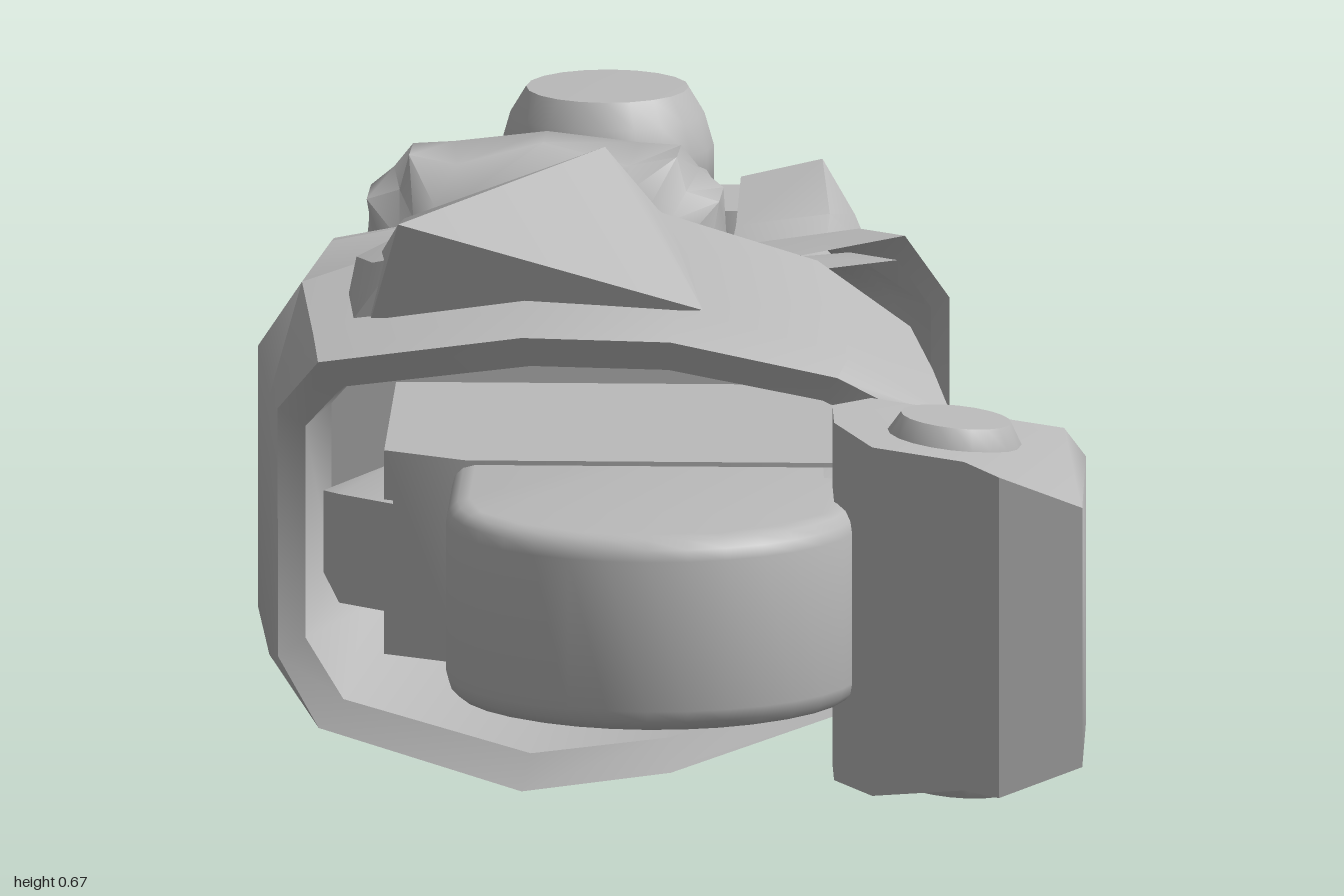
import * as THREE from 'three';
import { toCreasedNormals } from 'three/addons/utils/BufferGeometryUtils.js';
import { ConvexGeometry } from 'three/addons/geometries/ConvexGeometry.js';

const metal = new THREE.MeshStandardMaterial({ color: 0xbababa, side: THREE.DoubleSide });
metal.name = 'light grey metal';

// Mesh with smooth faces and sharp edges
function part(parent, name, geo, crease = 0.8) {
  const mesh = new THREE.Mesh(toCreasedNormals(geo, crease), metal);
  mesh.name = name;
  parent.add(mesh);
  return mesh;
}

// Skin over closed rings of [x, y, z], ordered counter-clockwise from +z, with optional end caps
function loft(rings, capped = true) {
  const n = rings[0].length, pos = rings.flat(2), idx = [];
  for (let r = 0; r < rings.length - 1; r++) {
    for (let i = 0; i < n; i++) {
      const a = r * n + i, b = r * n + (i + 1) % n;
      idx.push(a, b, b + n, a, b + n, a + n);
    }
  }
  if (capped) [rings[0], rings[rings.length - 1]].forEach((ring, end) => {
    const c = pos.length / 3, o = end ? (rings.length - 1) * n : 0;
    for (let k = 0; k < 3; k++) pos.push(ring.reduce((s, p) => s + p[k], 0) / n);
    for (let i = 0; i < n; i++) {
      const a = o + i, b = o + (i + 1) % n;
      idx.push(c, end ? a : b, end ? b : a);
    }
  });
  const g = new THREE.BufferGeometry();
  g.setAttribute('position', new THREE.Float32BufferAttribute(pos, 3));
  g.setIndex(idx);
  return g;
}

// Scale a unit outline into a box at depth z; bow pushes its top and bottom forward
function ring(outline, x0, x1, y0, y1, z, bow = 0) {
  return outline.map(([u, v]) => [
    (x0 + x1) / 2 + u * (x1 - x0) / 2,
    (y0 + y1) / 2 + v * (y1 - y0) / 2,
    z + bow * Math.max(0, (Math.abs(v) - 0.55) / 0.45),
  ]);
}

// Cut a ring off flat at a greatest x
const cut = (points, xMax) => points.map(([x, y, z]) => [Math.min(x, xMax), y, z]);

// Top outline of [x, z] raised from y0 to y1, with bevelled rims
function prism(outline, y0, y1, bevel = 0) {
  const shape = new THREE.Shape(outline.map(([x, z]) => new THREE.Vector2(x, -z)));
  const g = new THREE.ExtrudeGeometry(shape, {
    depth: y1 - y0 - 2 * bevel, bevelEnabled: bevel > 0, bevelSize: bevel,
    bevelThickness: bevel, bevelOffset: -bevel, bevelSegments: 3,
  });
  return g.rotateX(-Math.PI / 2).translate(0, y0 + bevel, 0);
}

const hull = (pts) => new ConvexGeometry(pts.map((p) => new THREE.Vector3(...p)));
const lathe = (pts) => new THREE.LatheGeometry(pts.map((p) => new THREE.Vector2(...p)), 20);

const SHELL = [[1, -0.5], [1, 0.5], [0.7, 0.78], [0.2, 0.98], [-0.25, 1], [-0.87, 0.85],
  [-1, 0.58], [-1, -0.52], [-0.87, -0.78], [-0.25, -1], [0.2, -0.93], [0.7, -0.72]];
const CHAMFER = [[1, -0.7], [1, 0.7], [0.6, 1], [-0.6, 1], [-1, 0.75], [-1, -0.75], [-0.6, -1], [0.6, -1]];
const CHANNEL = [[1, -0.7], [1, 0.7], [0.4, 1], [-1, 0.9], [-1, 0.82], [0.3, 0.88], [0.75, 0.65],
  [0.75, -0.65], [0.3, -0.88], [-1, -0.82], [-1, -0.9], [0.4, -1]];

export function createModel() {
  const model = new THREE.Group();
  model.name = 'mechanicalArm';

  // Tapered sleeve, stepped on its left and hollow at the front
  part(model, 'sleeve', loft([
    ring(SHELL, -0.31, -0.01, 0.14, 0.45, -0.46),
    cut(ring(SHELL, -0.375, 0.09, 0.1, 0.52, -0.2), 0.015),
    cut(ring(SHELL, -0.427, 0.23, 0.055, 0.57, 0), 0.03),
    ring(SHELL, -0.43, 0.24, 0.055, 0.57, 0.015),
    ring(SHELL, -0.46, 0.27, 0.035, 0.56, 0.18),
    ring(SHELL, -0.44, 0.3, 0.03, 0.55, 0.4, 0.02),
    ring(SHELL, -0.43, 0.285, 0.037, 0.538, 0.42, 0.13),
    ring(SHELL, -0.4, 0.26, 0.075, 0.503, 0.42, 0.11),
    ring(SHELL, -0.38, 0.22, 0.13, 0.46, 0.2),
  ]), 0.8);
  part(model, 'sleeveRearLug', hull([0.14, 0.46].flatMap((y) => [
    [0.02, y, -0.1], [0.17, y, -0.08], [0.195, y, -0.01], [0.19, y, 0.04], [0.03, y, 0.04],
  ])));

  // Raised housing above the sleeve and its side nub
  part(model, 'topHousing', hull([
    [-0.345, 0.525, 0.2], [-0.02, 0.572, 0.09], [0.03, 0.545, 0.43], [-0.33, 0.525, 0.39],
    [-0.3, 0.635, 0.42], [-0.3, 0.6, 0.22], [-0.085, 0.67, 0.17], [-0.05, 0.635, 0.2],
  ]), 0.7);
  part(model, 'housingNub', hull([
    [-0.36, 0.52, 0.26], [-0.35, 0.57, 0.28], [-0.3, 0.59, 0.25], [-0.3, 0.52, 0.24],
    [-0.35, 0.52, 0.37], [-0.33, 0.58, 0.36], [-0.3, 0.59, 0.38], [-0.3, 0.52, 0.38],
  ]));

  // Keel plate below the sleeve
  part(model, 'keelPlate', hull([
    [-0.29, 0.06, 0.2], [-0.28, 0.035, 0.22], [-0.17, 0.005, 0.23], [0.03, 0.03, 0.22], [0.12, 0.055, 0.18],
    [0.14, 0.08, 0.1], [-0.17, 0.05, 0.27], [-0.27, 0.08, -0.02], [-0.2, 0.09, -0.22],
    [-0.04, 0.1, -0.24], [0.04, 0.1, -0.1], [-0.12, 0.045, 0],
  ]), 0.5);

  // Round-ended tongue coming out of the sleeve
  const tongue = [[0.215, 0.2], [-0.235, 0.2]];
  for (let i = 0; i <= 16; i++) {
    const a = Math.PI * (1 - i / 16);
    tongue.push([-0.01 + 0.225 * Math.cos(a), 0.785 + 0.213 * Math.sin(a)]);
  }
  part(model, 'tongue', prism(tongue.reverse(), 0.195, 0.41, 0.025), 1);
  part(model, 'tongueBase', prism([[-0.31, 0.2], [-0.31, 0.56], [-0.22, 0.61], [0.18, 0.61], [0.18, 0.2]], 0.19, 0.415));
  part(model, 'tongueSideLug', hull([-1, 1].flatMap((s) => [
    [-0.3, 0.3 + s * 0.07, 0.4], [-0.3, 0.3 + s * 0.06, 0.58],
    [-0.36, 0.3 + s * 0.06, 0.53], [-0.38, 0.3 + s * 0.045, 0.44],
  ])));

  // Link and notched side block, lower towards its outer side
  part(model, 'blockLink', prism([[0.14, 0.38], [0.25, 0.42], [0.25, 0.55], [0.22, 0.7], [0.15, 0.68]], 0.2, 0.41, 0.02));
  const block = prism([[0.22, 0.64], [0.43, 0.68], [0.455, 0.72], [0.46, 0.97], [0.37, 0.975],
    [0.33, 0.915], [0.23, 0.895], [0.185, 0.79], [0.18, 0.7]], -1, 1);
  const bp = block.attributes.position;
  for (let i = 0; i < bp.count; i++) {
    const x = bp.getX(i);
    const half = 0.198 - (x - 0.18) * 0.11 - Math.max(0, x - 0.43) * 0.8;
    bp.setY(i, 0.3 + Math.sign(bp.getY(i)) * half);
  }
  part(model, 'sideBlock', block, 1);
  for (const s of [-1, 1]) {
    const cap = part(model, s > 0 ? 'blockCapTop' : 'blockCapBottom', lathe([[0.075, -0.03], [0.073, 0], [0.06, 0.022], [0, 0.022]]));
    cap.position.set(0.315, 0.301 + s * 0.182, 0.79);
    cap.rotation.set(s < 0 ? Math.PI : 0, 0, -s * 0.1);
  }

  // Long channel-shaped guard beside the sleeve, flared at the front
  part(model, 'sideGuard', loft([
    ring(CHANNEL, 0.03, 0.155, 0.15, 0.465, -0.65, -0.1),
    ring(CHANNEL, 0.03, 0.175, 0.17, 0.44, -0.58),
    ring(CHANNEL, 0.03, 0.18, 0.17, 0.45, -0.35),
    ring(CHANNEL, 0.03, 0.205, 0.12, 0.49, -0.19),
    ring(CHANNEL, 0.03, 0.245, 0.085, 0.525, -0.1),
    ring(CHANNEL, 0.12, 0.28, 0.08, 0.53, -0.04),
  ], false), 0.9);

  // Wavy cuff at the back of the sleeve
  const wave = (x0, x1, y0, y1, z, amount) => {
    const outline = [];
    for (let i = 0; i < 24; i++) {
      const a = i / 24 * Math.PI * 2, k = 1 - amount * (i % 2);
      const round = (t) => Math.sign(t) * Math.sqrt(Math.abs(t));
      outline.push([round(Math.cos(a)) * k, round(Math.sin(a)) * k]);
    }
    return ring(outline, x0, x1, y0, y1, z);
  };
  part(model, 'cuff', loft([
    wave(-0.35, 0, 0.15, 0.48, -0.63, 0),
    wave(-0.38, 0.03, 0.11, 0.525, -0.6, 0.04),
    wave(-0.38, 0.03, 0.1, 0.54, -0.47, 0.1),
    wave(-0.34, -0.01, 0.14, 0.49, -0.43, 0),
  ]), 1);

  // Rear joint: neck, fork cheeks either side of a barrel, and side lug
  part(model, 'jointNeck', loft([
    ring(CHAMFER, -0.25, 0, 0.22, 0.41, -0.8),
    ring(CHAMFER, -0.31, 0.02, 0.17, 0.46, -0.6),
  ]), 1);
  part(model, 'forkCheekLeft', prism([[0, -0.92], [0, -0.78], [0.03, -0.78], [0.1, -0.82], [0.1, -0.92]], 0.235, 0.4));
  part(model, 'forkCheekRight', prism([[-0.31, -0.92], [-0.26, -0.74], [-0.2, -0.76], [-0.23, -0.92]], 0.235, 0.4));
  const barrel = part(model, 'jointBarrel', new THREE.CylinderGeometry(0.085, 0.085, 0.18, 12), 0.3);
  barrel.position.set(-0.12, 0.312, -0.87);
  part(model, 'jointLug', prism([[-0.33, -0.8], [-0.33, -0.74], [-0.29, -0.66], [-0.2, -0.66], [-0.26, -0.82]], 0.24, 0.39, 0.01));

  // Paired joint knobs and the small pivot pin
  for (const s of [-1, 1]) {
    const knob = part(model, s > 0 ? 'knobTop' : 'knobBottom',
      lathe([[0, 0.07], [0.09, 0.07], [0.115, 0.1], [0.115, 0.14], [0.105, 0.175], [0.088, 0.203], [0, 0.205]]), 0.8);
    knob.position.set(-0.12, 0.312, -0.885);
    if (s < 0) knob.rotation.x = Math.PI;
  }
  const pin = part(model, 'pivotPin', lathe([[0, -0.14], [0.05, -0.14], [0.056, -0.13], [0.056, 0.13], [0.05, 0.14], [0, 0.14]]));
  pin.position.set(-0.055, 0.315, -0.72);

  return model;
}
